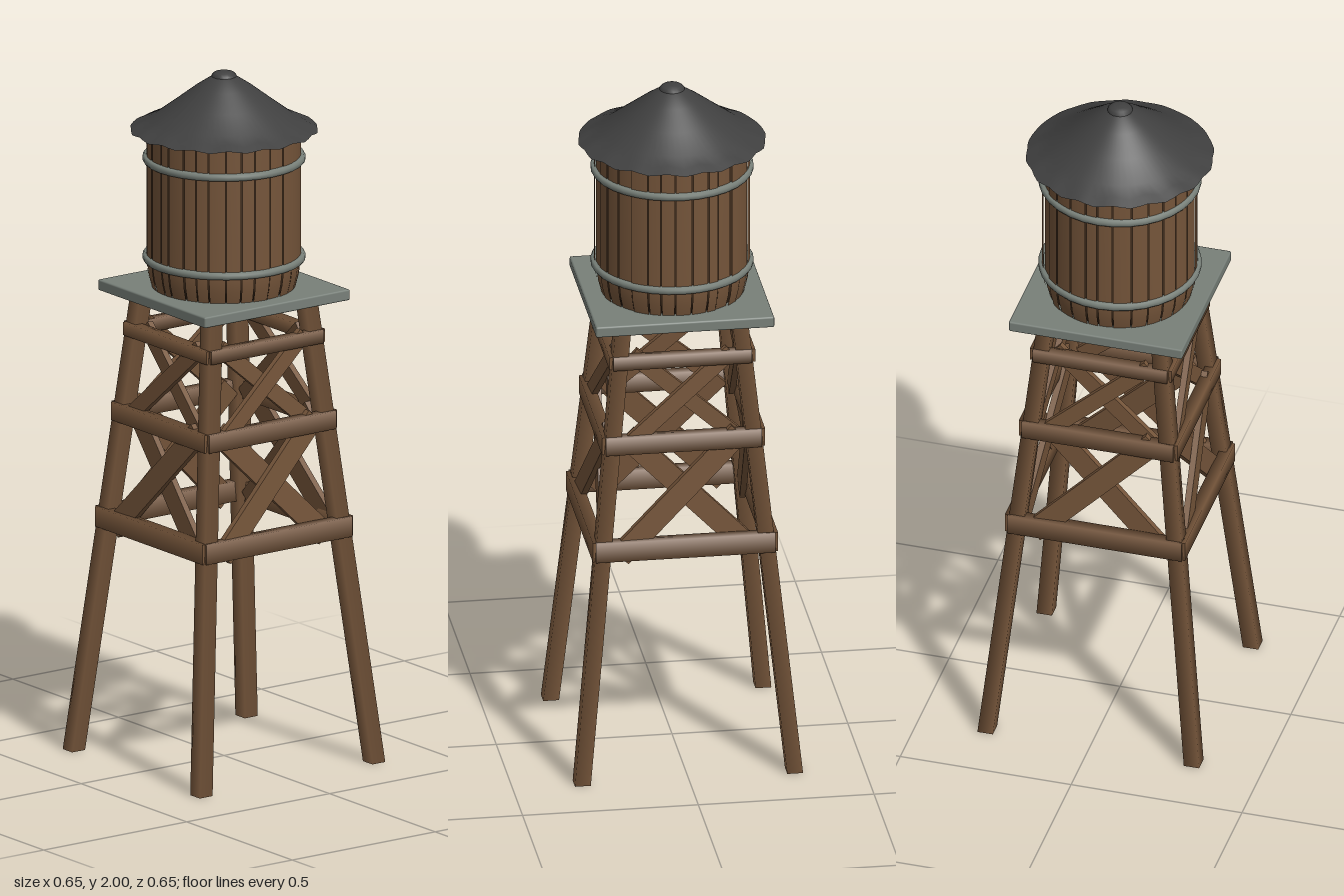
import * as THREE from 'three';
import { RoundedBoxGeometry } from 'three/addons/geometries/RoundedBoxGeometry.js';

const mat = (name, color) => {
  const m = new THREE.MeshStandardMaterial({ color });
  m.name = name;
  return m;
};

export function createModel() {
  const wood = mat('wood', 0x75553a);
  const gap = mat('dark wood', 0x3f2c1c);
  const metal = mat('grey metal', 0x788079);
  const roofMat = mat('charcoal roof', 0x404040);

  const model = new THREE.Group();
  model.name = 'waterTower';
  const add = (parent, name, geo, material) => {
    const m = new THREE.Mesh(geo, material);
    m.name = name;
    parent.add(m);
    return m;
  };
  const V = (x, y, z) => new THREE.Vector3(x, y, z);
  const lathe = (pts, seg, start = 0, len = Math.PI * 2) =>
    new THREE.LatheGeometry(pts.map(p => new THREE.Vector2(...p)), seg, start, len);

  // Distance of a leg's centre from the axis at a given height
  const LEG_TOP = 1.35;
  const legAt = y => 0.302 - 0.137 * y / LEG_TOP;

  // Square post with soft normals, from a to b in the face plane
  function beam(parent, name, a, b, width, depth, soft) {
    const len = a.distanceTo(b);
    const geo = soft
      ? new THREE.CylinderGeometry(Math.SQRT1_2, Math.SQRT1_2, 1, 4).rotateY(Math.PI / 4)
      : new THREE.BoxGeometry(1, 1, 1);
    geo.scale(width, len, depth);
    const dir = b.clone().sub(a).normalize();
    const side = V().crossVectors(dir, V(0, 0, 1)).normalize();
    const out = V().crossVectors(side, dir);
    geo.applyMatrix4(new THREE.Matrix4().makeBasis(side, dir, out)
      .setPosition(a.clone().add(b).multiplyScalar(0.5)));
    return add(parent, name, geo, wood);
  }

  // Four leaning legs, sheared so that the feet stay level
  for (const sx of [-1, 1]) for (const sz of [-1, 1]) {
    const geo = new THREE.CylinderGeometry(0.0318, 0.0318, LEG_TOP, 4).rotateY(Math.PI / 4);
    geo.translate(0, LEG_TOP / 2, 0);
    const p = geo.attributes.position;
    for (let i = 0; i < p.count; i++) {
      const r = legAt(p.getY(i));
      p.setX(i, p.getX(i) + sx * r);
      p.setZ(i, p.getZ(i) + sz * r);
    }
    geo.computeBoundingSphere();
    add(model, 'leg', geo, wood);
  }

  // Rails and cross braces, the same on all four sides
  for (let k = 0; k < 4; k++) {
    const face = new THREE.Group();
    face.name = 'sideFrame';
    face.rotation.y = k * Math.PI / 2;
    model.add(face);
    for (const [y, half, h] of [[0.685, 0.255, 0.058], [0.995, 0.222, 0.052], [1.237, 0.197, 0.038]]) {
      const z = legAt(y) + 0.014;
      beam(face, 'rail', V(-half, y, z), V(half, y, z), h, 0.034, true);
    }
    for (const [y0, y1, x0, x1, w] of [[0.665, 1.01, 0.185, 0.16, 0.066], [0.985, 1.25, 0.165, 0.14, 0.046]]) {
      for (const s of [-1, 1]) {
        const dz = s * 0.009;
        beam(face, 'crossBrace', V(-s * x0, y0, legAt(y0) + dz), V(s * x1, y1, legAt(y1) + dz), w, 0.018, false);
      }
    }
  }

  // Platform
  add(model, 'platform', new RoundedBoxGeometry(0.508, 0.032, 0.508, 1, 0.005), metal)
    .position.y = 1.36;

  // Tank: dark core showing between separate staves of uneven width
  const tank = new THREE.Group();
  tank.name = 'tank';
  model.add(tank);
  add(tank, 'tankCore', lathe([[0, 1.377], [0.195, 1.377], [0.211, 1.45], [0.211, 1.845]], 32), gap);
  let seed = 7;
  const rand = () => (seed = (seed * 16807) % 2147483647) / 2147483647;
  const widths = Array.from({ length: 30 }, () => 0.75 + 0.6 * rand());
  const total = widths.reduce((a, b) => a + b, 0);
  let angle = 0;
  for (const w of widths) {
    const span = w / total * Math.PI * 2;
    const o = 0.005 * rand();
    add(tank, 'stave', lathe([
      [0.19, 1.376], [0.206 - o, 1.376], [0.206 - o, 1.376], [0.215 - o, 1.41],
      [0.221 - o, 1.455], [0.221 - o, 1.845],
    ], 2, angle + 0.008, span - 0.016), wood);
    angle += span;
  }

  // Metal hoops
  for (const y of [1.46, 1.748]) {
    add(tank, 'hoop', lathe([
      [0.215, y - 0.011], [0.226, y - 0.01], [0.23, y - 0.004],
      [0.23, y + 0.004], [0.226, y + 0.01], [0.215, y + 0.011],
    ], 32), metal);
  }

  // Conical roof with a rippled, flared eave and a small cap
  const ripple = geo => {
    const p = geo.attributes.position;
    for (let i = 0; i < p.count; i++) {
      const x = p.getX(i), z = p.getZ(i), r = Math.hypot(x, z);
      if (r < 0.215) continue;
      const wave = Math.cos(16 * Math.atan2(x, z));
      const rim = r > 0.25;
      const k = 1 + (rim ? 0.009 : 0.022) * wave;
      p.setXYZ(i, x * k, p.getY(i) - (rim ? 0.003 : 0.004) * wave, z * k);
    }
    geo.computeVertexNormals();
    return geo;
  };
  const roof = new THREE.Group();
  roof.name = 'roof';
  model.add(roof);
  add(roof, 'roofTop', ripple(lathe([
    [0.264, 1.832], [0.237, 1.845], [0.2, 1.863], [0.14, 1.908], [0.08, 1.954], [0.035, 1.984], [0, 1.988],
  ], 64)), roofMat);
  add(roof, 'roofUnderside', ripple(lathe([[0.2, 1.845], [0.235, 1.836], [0.264, 1.832]], 64)), roofMat);
  add(roof, 'roofCap', lathe([
    [0.036, 1.978], [0.035, 1.988], [0.028, 1.995], [0.015, 1.999], [0, 2],
  ], 20), roofMat);

  return model;
}
